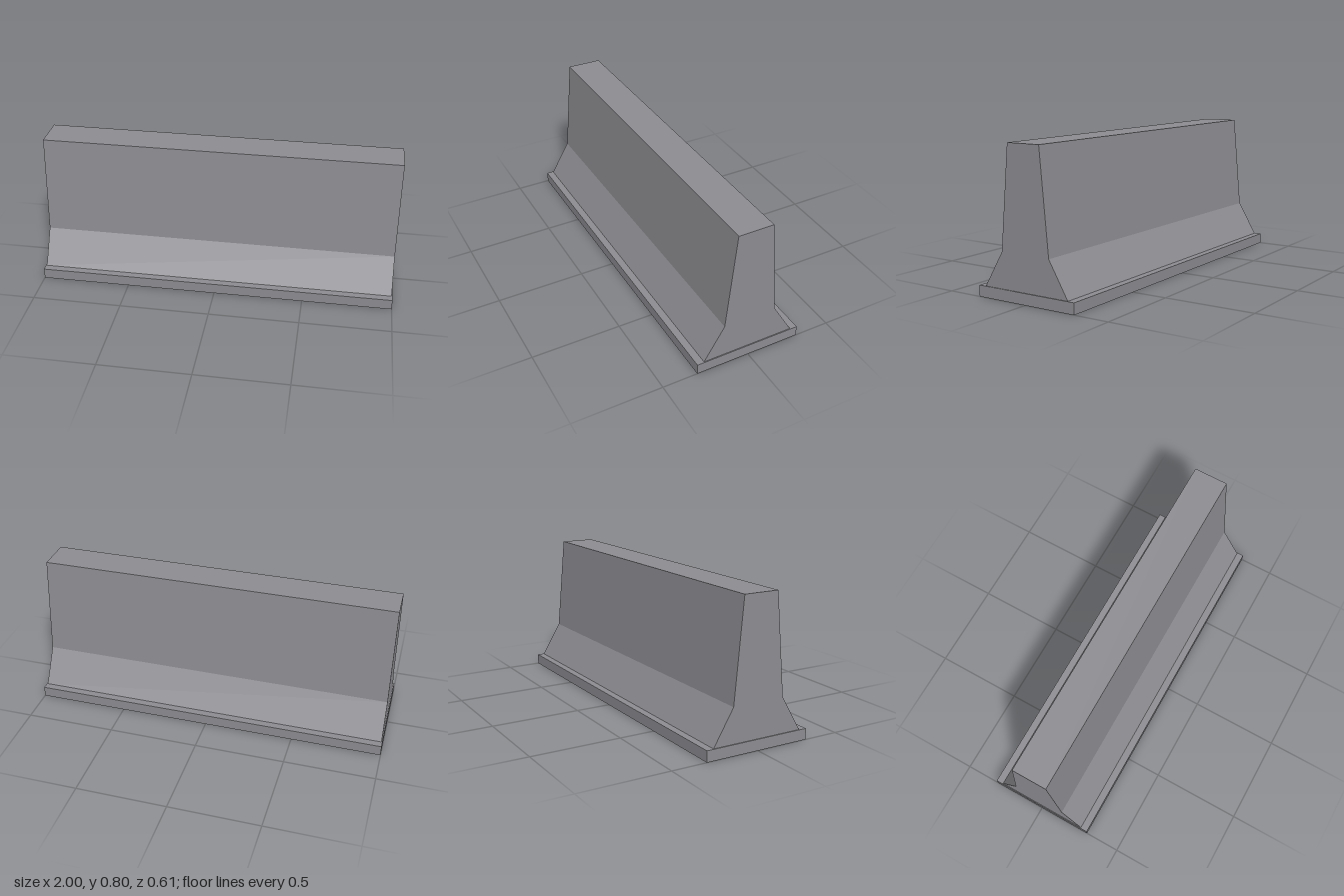
import * as THREE from 'three';

export function createModel() {
  const group = new THREE.Group();
  group.name = 'roadBarrier';
  const concrete = new THREE.MeshStandardMaterial({ color: 0x8c8c91 });
  concrete.name = 'concrete grey';

  // Flat footing slab
  const footing = new THREE.Mesh(new THREE.BoxGeometry(2, 0.06, 0.605), concrete);
  footing.name = 'footing';
  footing.position.y = 0.03;
  group.add(footing);

  // Flared wall: half profile mirrored, then extruded along x
  const half = [[0.262, 0.06], [0.149, 0.25], [0.099, 0.797]];
  const mirrored = half.map(([x, y]) => [-x, y]).reverse();
  const profile = new THREE.Shape([...half, ...mirrored].map(([x, y]) => new THREE.Vector2(x, y)));
  const length = 1.99;
  const wallGeometry = new THREE.ExtrudeGeometry(profile, { depth: length, bevelEnabled: false });
  wallGeometry.translate(0, 0, -length / 2).rotateY(Math.PI / 2);
  const wall = new THREE.Mesh(wallGeometry, concrete);
  wall.name = 'wall';
  group.add(wall);

  return group;
}
